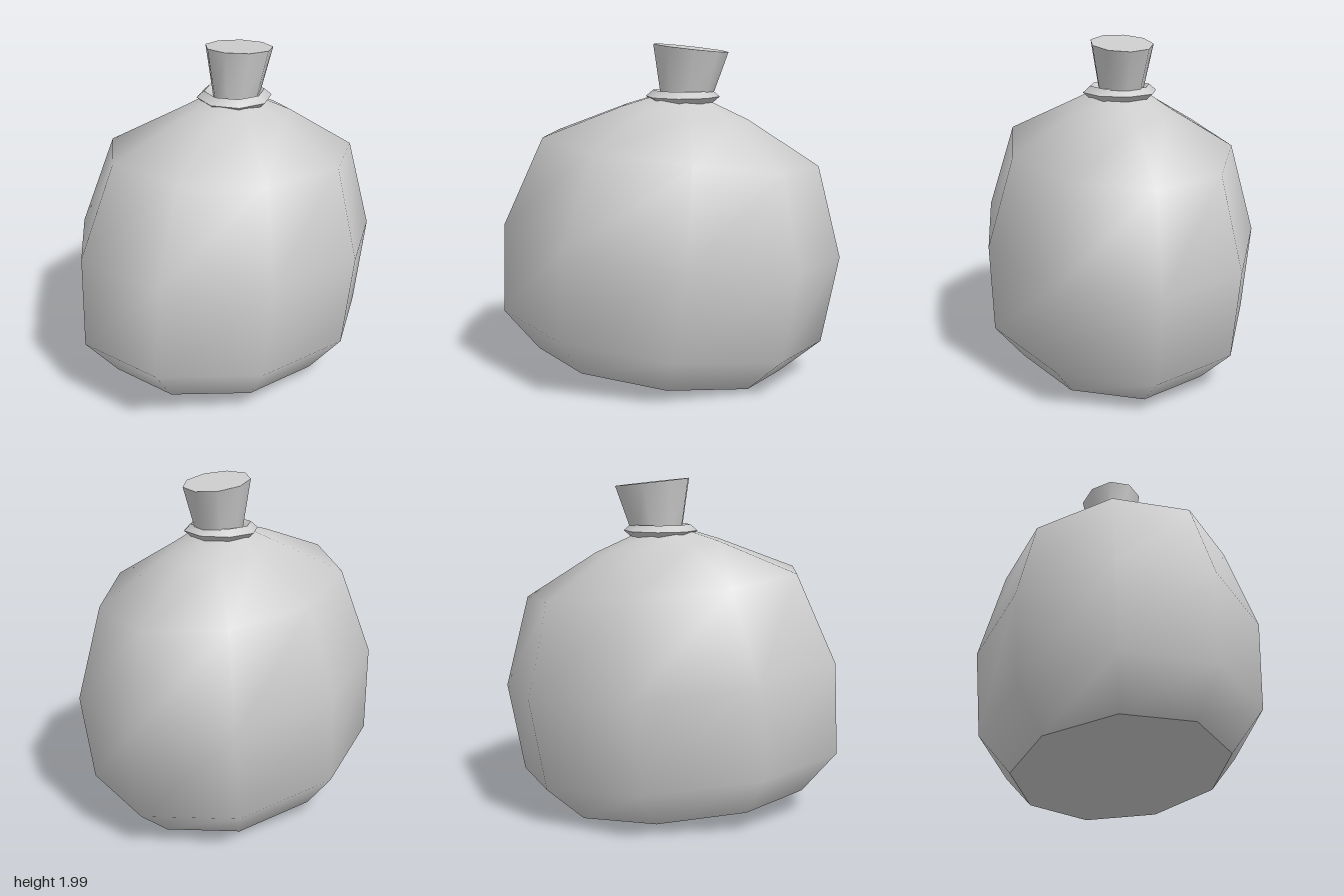
import * as THREE from 'three';

const TILT = 0.108; // every ring leans down towards +x

// Skin between nine-sided elliptical rings [centreX, centreY, radiusX, radiusZ], bottom to top
function loft(rings, sides = 9, tilt = TILT) {
  const pos = [], index = [];
  for (const [cx, cy, rx, rz] of rings) {
    for (let i = 0; i < sides; i++) {
      const a = (i / sides) * Math.PI * 2;
      const dx = rx * Math.cos(a);
      pos.push(cx + dx, cy - tilt * dx, rz * Math.sin(a));
    }
  }
  for (let r = 0; r < rings.length - 1; r++) {
    for (let i = 0; i < sides; i++) {
      const a = r * sides + i, b = r * sides + (i + 1) % sides;
      index.push(a, a + sides, b, b, a + sides, b + sides);
    }
  }
  return finish(pos, index);
}

// Flat lid over one ring, facing up or down
function cap([cx, cy, rx, rz], up, sides = 9) {
  const pos = [cx, cy, 0], index = [];
  for (let i = 0; i < sides; i++) {
    const a = (i / sides) * Math.PI * 2;
    const dx = rx * Math.cos(a);
    pos.push(cx + dx, cy - TILT * dx, rz * Math.sin(a));
    const p = 1 + i, q = 1 + (i + 1) % sides;
    index.push(0, up ? q : p, up ? p : q);
  }
  return finish(pos, index);
}

function finish(pos, index) {
  const g = new THREE.BufferGeometry();
  g.setAttribute('position', new THREE.Float32BufferAttribute(pos, 3));
  g.setIndex(index);
  g.computeVertexNormals();
  return g;
}

export function createModel() {
  const model = new THREE.Group();
  model.name = 'tiedSack';
  const grey = new THREE.MeshStandardMaterial({ color: 0xcccccc });
  grey.name = 'grey cloth';
  const add = (name, geometry) => {
    const mesh = new THREE.Mesh(geometry, grey);
    mesh.name = name;
    model.add(mesh);
  };

  // Rounded, slightly slumped body
  const body = [
    [-0.10, 0.082, 0.753, 0.61],
    [-0.08, 0.307, 0.98, 0.79],
    [-0.02, 0.84, 1.02, 0.82],
    [0.03, 1.37, 0.83, 0.665],
    [0.059, 1.592, 0.381, 0.29],
    [0.05, 1.665, 0.19, 0.18],
    [0.065, 1.675, 0.15, 0.125],
  ];
  add('body', loft(body));
  add('base', cap(body[0], false));

  // Flared neck above the tie
  const neck = [[0.065, 1.66, 0.147, 0.125], [0.095, 1.97, 0.225, 0.183]];
  add('neck', loft(neck));
  add('neckTop', cap(neck[1], true));

  // Eight-sided tie with a diamond section, one band per face to keep its edges sharp
  const tie = [[0.22, 1.685], [0.177, 1.722], [0.13, 1.685], [0.177, 1.647], [0.22, 1.685]];
  for (let i = 0; i < 4; i++) {
    const band = [tie[i], tie[i + 1]].map(([r, y]) => [0.05, y, r, r]);
    add('tieBand', loft(band, 8, 0));
  }
  return model;
}
